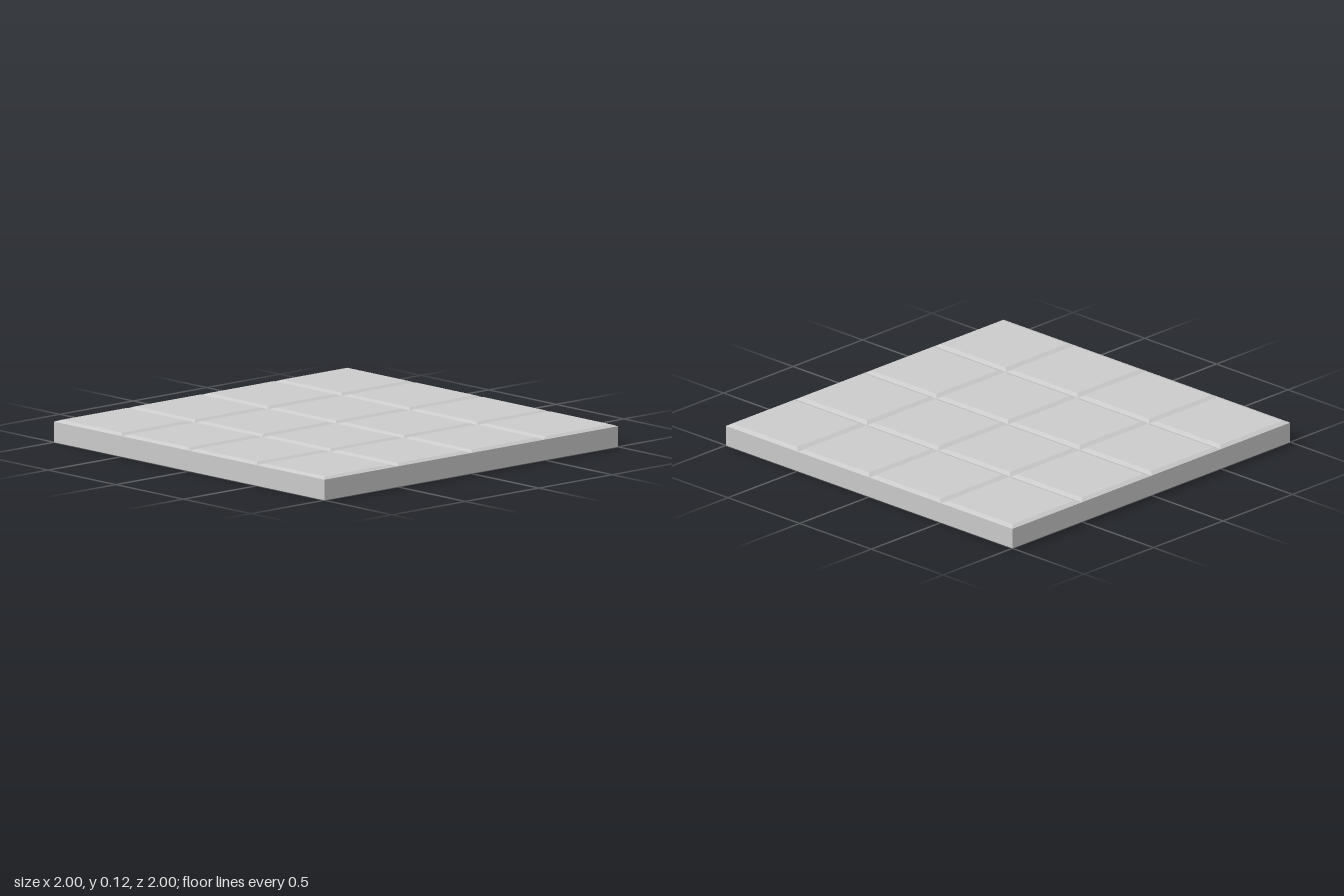
import * as THREE from 'three';

const COUNT = 4;       // tiles per side
const TILE = 0.5;      // tile pitch
const SLAB_H = 0.105;  // height of the plain slab
const RISE = 0.01;     // height of the bevelled tile tops
const BEVEL = 0.027;   // horizontal width of the bevel

// A shallow block whose top edges are drawn inwards to form four bevels
function bevelledTile() {
  const geo = new THREE.BoxGeometry(TILE, RISE, TILE);
  geo.translate(0, RISE / 2, 0);
  const pos = geo.attributes.position;
  for (let i = 0; i < pos.count; i++) {
    if (pos.getY(i) > RISE / 2) {
      pos.setX(i, pos.getX(i) - Math.sign(pos.getX(i)) * BEVEL);
      pos.setZ(i, pos.getZ(i) - Math.sign(pos.getZ(i)) * BEVEL);
    }
  }
  geo.computeVertexNormals();
  return geo;
}

export function createModel() {
  const group = new THREE.Group();
  group.name = 'tiledFloor';
  const material = new THREE.MeshStandardMaterial({ color: 0xcccccc, flatShading: true });

  // Plain slab under the tiles
  const side = COUNT * TILE;
  const slab = new THREE.Mesh(new THREE.BoxGeometry(side, SLAB_H, side), material);
  slab.name = 'slab';
  slab.position.y = SLAB_H / 2;
  group.add(slab);

  // Grid of bevelled tiles meeting in V-shaped grooves
  const tiles = new THREE.Group();
  tiles.name = 'tiles';
  const tileGeo = bevelledTile();
  for (let row = 0; row < COUNT; row++) {
    for (let col = 0; col < COUNT; col++) {
      const tile = new THREE.Mesh(tileGeo, material);
      tile.name = `tile_${row + 1}_${col + 1}`;
      tile.position.set((col + 0.5) * TILE - side / 2, SLAB_H, (row + 0.5) * TILE - side / 2);
      tiles.add(tile);
    }
  }
  group.add(tiles);
  return group;
}
